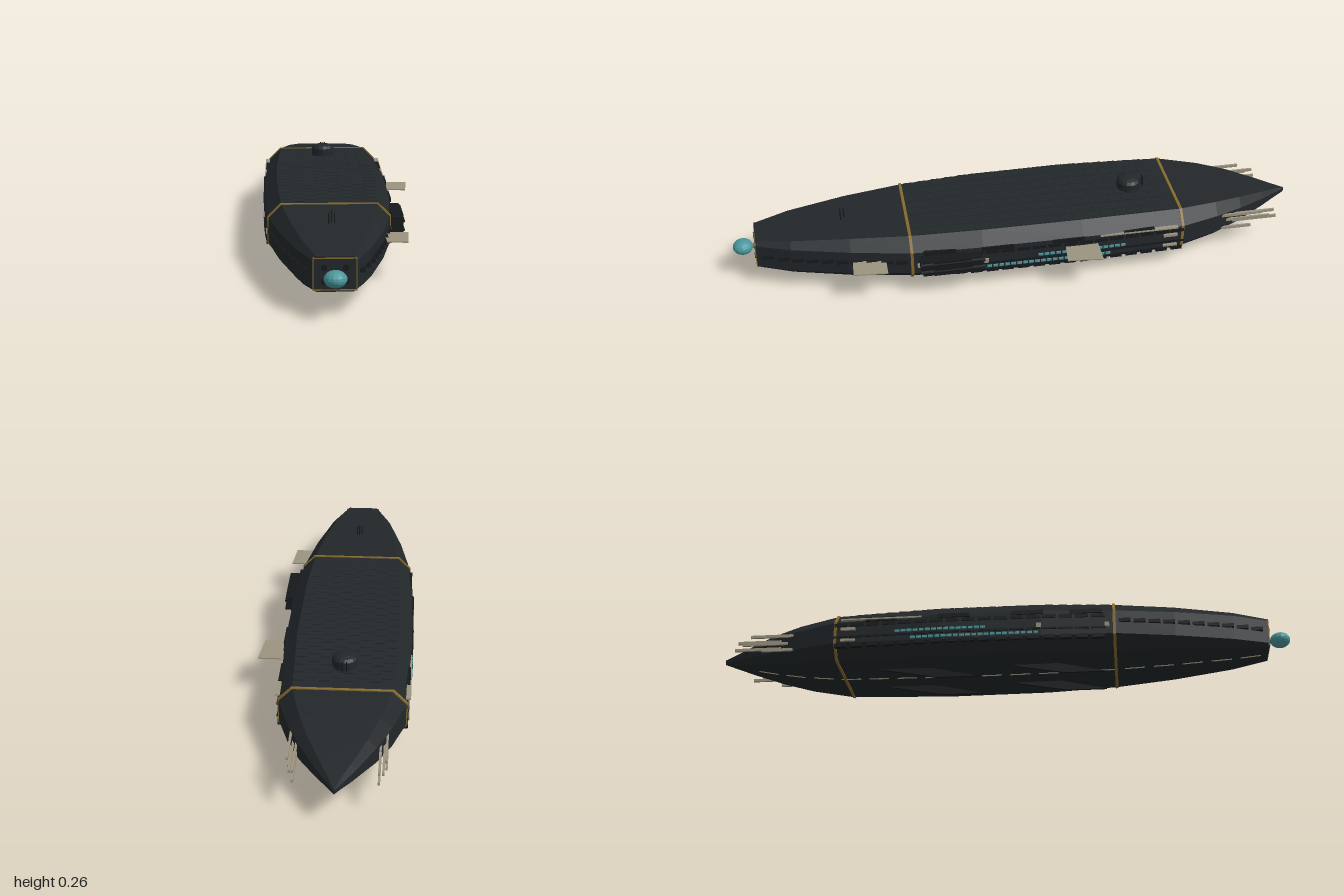
import * as THREE from 'three';
import { mergeGeometries } from 'three/addons/utils/BufferGeometryUtils.js';

const CX = -0.043; // hull centreline
const mat = (color) => new THREE.MeshStandardMaterial({ color, flatShading: true });
const HULL = mat(0x22272a), DARK = mat(0x16191c), GOLD = mat(0x866a2c), TEAL = mat(0x4a979c), TAN = mat(0x9b937f);

// Hull stations: z, half width, top, bottom, chamfer
const STATIONS = [
  [0.92, 0.067, 0.182, 0.074, 0.012],
  [0.8, 0.113, 0.194, 0.062, 0.022],
  [0.6, 0.163, 0.205, 0.049, 0.034],
  [0.395, 0.2, 0.211, 0.04, 0.043],
  [0.15, 0.214, 0.215, 0.035, 0.043],
  [-0.2, 0.217, 0.215, 0.035, 0.043],
  [-0.56, 0.206, 0.207, 0.041, 0.045],
  [-0.7, 0.162, 0.193, 0.054, 0.036],
  [-0.8, 0.119, 0.178, 0.07, 0.028],
  [-0.9, 0.064, 0.157, 0.091, 0.018],
  [-0.96, 0.027, 0.143, 0.105, 0.01],
  [-1.0, 0.003, 0.133, 0.116, 0.002],
];

// Hull section at any z
function section(z) {
  let i = 0;
  while (i < STATIONS.length - 2 && STATIONS[i + 1][0] > z) i++;
  const a = STATIONS[i], b = STATIONS[i + 1], t = (z - a[0]) / (b[0] - a[0]);
  return a.map((v, k) => v + (b[k] - v) * t);
}

// Capped loft through octagonal sections
function loft(stations) {
  const pos = [], idx = [], n = 8;
  for (const [z, w, t, b, c] of stations) {
    const ring = [[w, b + c], [w, t - c], [w - c, t], [c - w, t], [-w, t - c], [-w, b + c], [c - w, b], [w - c, b]];
    ring.forEach(([x, y]) => pos.push(x, y, z));
  }
  for (let i = 0; i < stations.length - 1; i++)
    for (let j = 0; j < n; j++) {
      const a = i * n + j, b = i * n + (j + 1) % n;
      idx.push(a, a + n, b, b, a + n, b + n);
    }
  const e = (stations.length - 1) * n;
  for (let j = 1; j < n - 1; j++) idx.push(0, j, j + 1, e, e + j + 1, e + j);
  const g = new THREE.BufferGeometry();
  g.setAttribute('position', new THREE.Float32BufferAttribute(pos, 3));
  g.setIndex(idx);
  g.computeVertexNormals();
  return g;
}

// Box given by centre and size
const box = (x, y, z, w, h, d) => new THREE.BoxGeometry(w, h, d).translate(x, y, z);

export function createModel() {
  const model = new THREE.Group();
  const ship = new THREE.Group();
  ship.name = 'ship';
  ship.position.x = CX;
  model.add(ship);
  const add = (name, geo, material) => {
    const m = new THREE.Mesh(Array.isArray(geo) ? mergeGeometries(geo) : geo, material);
    m.name = name;
    ship.add(m);
    return m;
  };

  add('hull', loft(STATIONS), HULL);

  // Gold bands round the hull
  for (const z of [0.395, -0.56]) {
    const band = [z + 0.005, z - 0.005].map((q) => {
      const [, w, t, b, c] = section(q);
      return [q, w + 0.003, t + 0.003, b - 0.003, c];
    });
    add('goldBand', loft(band), GOLD);
  }

  // Bow face: frame, bolts and lamp
  add('bowFrame', [
    ...[-1, 1].map((s) => box(s * 0.064, 0.128, 0.92, 0.003, 0.096, 0.006)),
    ...[-1, 1].map((s) => box(0, 0.128 + s * 0.048, 0.92, 0.13, 0.003, 0.006)),
  ], GOLD);
  const bolts = [];
  for (const sx of [-1, 1]) for (const sy of [-1, 1])
    bolts.push(new THREE.CylinderGeometry(0.01, 0.01, 0.01, 6).rotateX(Math.PI / 2).translate(sx * 0.032, 0.127 + sy * 0.021, 0.922));
  add('bowBolts', bolts, DARK);
  add('bowLamp', new THREE.SphereGeometry(1, 14, 10).scale(0.035, 0.026, 0.035).translate(0, 0.126, 0.965), TEAL);

  // Staggered deck plates
  const plates = [], rows = 18, step = 0.88 / rows;
  for (let r = 0; r < rows; r++) {
    const z = 0.36 - r * step, [, w, t, , c] = section(z), pw = (w - c) * 2 / 8;
    for (let k = 0; k < 8; k++) {
      const shift = (k % 2) * step * 0.4;
      plates.push(box((k - 3.5) * pw, t, z - shift, pw - 0.003, 0.004, step - 0.004));
    }
  }
  add('deckPlates', plates, HULL);

  // Domed turret with antenna prongs, and bow prongs
  const dome = [[0.042, 0.205], [0.042, 0.24], [0.034, 0.249], [0.02, 0.254], [0, 0.256]];
  add('turret', new THREE.LatheGeometry(dome.map(([x, y]) => new THREE.Vector2(x, y)), 16).translate(0, 0, -0.41), HULL);
  const prong = (x, z, top) => new THREE.CylinderGeometry(0.002, 0.002, top - 0.2, 6).translate(x, (top + 0.2) / 2, z);
  add('prongs', [
    prong(-0.009, 0.62, 0.237), prong(0.009, 0.62, 0.237), prong(0, 0.608, 0.243),
    prong(-0.008, -0.46, 0.25), prong(0.008, -0.46, 0.25),
  ], DARK);

  // Swept keel fins
  for (const x of [-0.075, 0.075]) for (const z of [0, -0.44]) {
    const fin = new THREE.Shape([[0.36, 0], [0.22, 0], [-0.01, 0.042], [0.17, 0.042]].map(([a, b]) => new THREE.Vector2(-a - z, b)));
    add('keelFin', new THREE.ExtrudeGeometry(fin, { depth: 0.009, bevelEnabled: false })
      .rotateY(Math.PI / 2).translate(x - 0.0045, 0, 0), DARK);
  }

  // Dashed keel strip that follows the bottom
  const dashes = [];
  for (let z = 0.86; z > -0.88; z -= 0.1) {
    const b0 = section(z + 0.035)[3], b1 = section(z - 0.035)[3];
    dashes.push(new THREE.BoxGeometry(0.005, 0.004, 0.07).rotateX(Math.atan2(b1 - b0, 0.07)).translate(0, (b0 + b1) / 2, z));
  }
  add('keelStrip', dashes, TAN);

  // Side fittings, mirrored
  for (const s of [-1, 1]) {
    const lit = [], ports = [], rails = [], trim = [];
    const side = (list, y, z, h, d, out) => list.push(box(s * (section(z)[1] + out - 0.008), y, z, 0.016, h, d));
    // lit window rows
    for (let z = -0.05; z > -0.36; z -= 0.021) side(lit, 0.118, z, 0.008, 0.016, 0.005);
    for (let z = 0.13; z > -0.3; z -= 0.021) side(lit, 0.091, z, 0.008, 0.016, 0.005);
    // armour rails and blocks
    for (let z = 0.34; z > -0.54; z -= 0.055) {
      side(rails, 0.15, z, 0.012, 0.045, 0.004);
      side(rails, 0.105, z, 0.006, 0.05, 0.005);
      side(rails, 0.075, z, 0.014, 0.04, 0.004);
    }
    for (const z of [0.3, 0.1, -0.15, -0.4]) side(rails, 0.166, z, 0.014, 0.11, 0.005);
    // stepped ports along the bow taper
    for (let z = 0.88; z > 0.42; z -= 0.05) side(ports, 0.132, z, 0.012, 0.04, 0.008);
    // pale trim
    side(trim, 0.167, -0.4, 0.005, 0.28, 0.008);
    side(trim, 0.134, -0.515, 0.01, 0.05, 0.008);
    side(trim, 0.092, -0.515, 0.008, 0.05, 0.008);
    for (const z of [0.37, 0.14]) side(trim, 0.116, z, 0.016, 0.016, 0.006);
    add('windows', lit, TEAL);
    add('armourRails', rails, DARK);
    add('bowPorts', ports, DARK);
    add('sideTrim', trim, TAN);

    // Stern slats: half width, y, front z, back z
    add('sternSlats', [
      [0.15, 0.147, -0.66, -0.87], [0.13, 0.135, -0.68, -0.92], [0.142, 0.122, -0.66, -0.9],
      [0.13, 0.108, -0.68, -0.93], [0.15, 0.094, -0.66, -0.83],
    ].map(([x, y, a, b]) => box(s * x, y, (a + b) / 2, 0.007, 0.01, a - b)), TAN);
  }

  // Left flank: two thin vanes and a gun housing
  const vane = (pts) => new THREE.ExtrudeGeometry(
    new THREE.Shape(pts.map(([x, z]) => new THREE.Vector2(x - CX, -z))), { depth: 0.004, bevelEnabled: false },
  ).rotateX(-Math.PI / 2).translate(0, 0.133, 0);
  add('midVane', vane([[0.16, -0.14], [0.25, -0.13], [0.263, -0.253], [0.16, -0.253]]), TAN);
  add('bowVane', vane([[0.11, 0.595], [0.2, 0.6], [0.21, 0.483], [0.13, 0.483]]), TAN);
  add('gunHousing', [
    box(0.215, 0.13, 0.26, 0.06, 0.05, 0.2),
    box(0.242, 0.128, 0.26, 0.014, 0.058, 0.13),
    box(0.215, 0.13, 0.36, 0.05, 0.03, 0.02),
    ...[0.115, 0.145].map((y) => new THREE.CylinderGeometry(0.006, 0.006, 0.22, 8).rotateX(Math.PI / 2).translate(0.245, y, 0.26)),
  ], DARK);

  return model;
}
